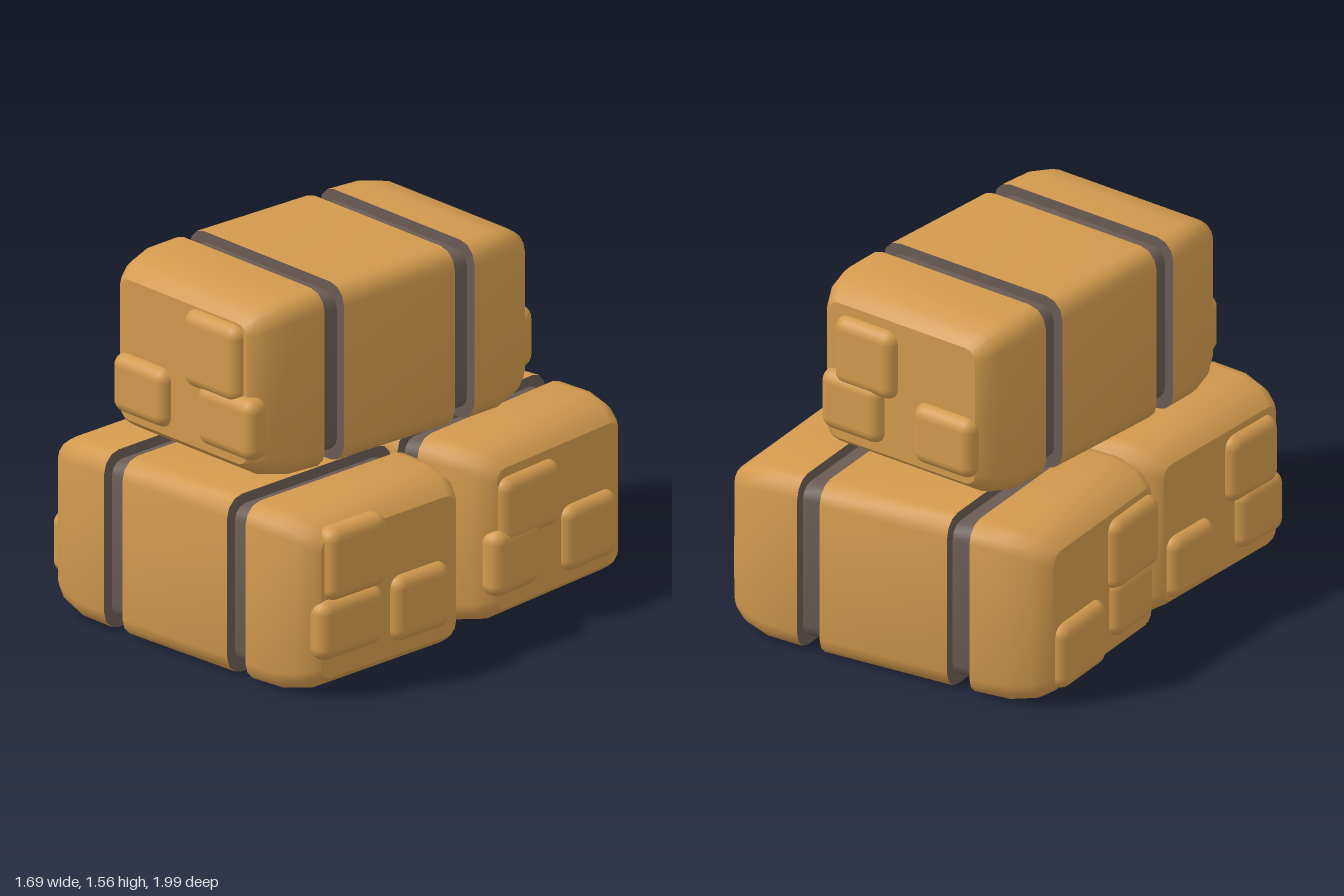
import * as THREE from 'three';
import { toCreasedNormals } from 'three/addons/utils/BufferGeometryUtils.js';
import { RoundedBoxGeometry } from 'three/addons/geometries/RoundedBoxGeometry.js';

const straw = new THREE.MeshStandardMaterial({ color: 0xd2994d });
straw.name = 'straw';
const strapGrey = new THREE.MeshStandardMaterial({ color: 0x6a5b54 });
strapGrey.name = 'strapGrey';

// Rounded rectangle in the y-z plane, its arcs running from +z to +y to -z to -y
function ring([x, halfH, halfW, r], steps = 3) {
  const pts = [];
  [[1, 1], [1, -1], [-1, -1], [-1, 1]].forEach(([sy, sz], corner) => {
    for (let i = 0; i <= steps; i++) {
      const a = (corner + i / steps) * Math.PI / 2;
      pts.push(new THREE.Vector3(x, sy * (halfH - r) + r * Math.sin(a), sz * (halfW - r) + r * Math.cos(a)));
    }
  });
  return pts;
}

// Solid lofted through the sections along +x; groups: 0 skin, 1 start face, 2 end face
function loft(sections) {
  const rings = sections.map((s) => ring(s));
  const n = rings[0].length;
  const pos = [];
  const tri = (a, b, c) => pos.push(...a.toArray(), ...b.toArray(), ...c.toArray());
  for (let s = 0; s + 1 < rings.length; s++) {
    for (let i = 0; i < n; i++) {
      const j = (i + 1) % n;
      const [a, b, c, d] = [rings[s][i], rings[s][j], rings[s + 1][j], rings[s + 1][i]];
      tri(a, c, b);
      tri(a, d, c);
    }
  }
  const skin = pos.length / 3;
  const fan = (r, facesStart) => {
    const mid = new THREE.Vector3(r[0].x, 0, 0);
    for (let i = 0; i < n; i++) {
      const j = (i + 1) % n;
      if (facesStart) tri(mid, r[i], r[j]);
      else tri(mid, r[j], r[i]);
    }
  };
  fan(rings[0], true);
  fan(rings[rings.length - 1], false);
  const raw = new THREE.BufferGeometry();
  raw.setAttribute('position', new THREE.Float32BufferAttribute(pos, 3));
  const geo = toCreasedNormals(raw, 0.6);
  geo.addGroup(0, skin, 0);
  geo.addGroup(skin, n * 3, 1);
  geo.addGroup(skin + n * 3, n * 3, 2);
  return geo;
}

const H = 0.39, W = 0.474, GAP_IN = 0.305, GAP_OUT = 0.412, END = 0.765;

// Groove walls are dark like the straps
const middleGeo = loft([[-GAP_IN, H, W, 0.085], [GAP_IN, H, W, 0.085]]);
const capGeo = loft([
  [GAP_OUT, H, W, 0.085],
  [0.58, 0.386, 0.47, 0.085],
  [0.69, 0.363, 0.443, 0.08],
  [0.745, 0.328, 0.412, 0.065],
  [END, 0.308, 0.388, 0.05],
]);
const strapGeo = loft([[GAP_IN - 0.01, H - 0.045, W - 0.045, 0.06], [GAP_OUT + 0.01, H - 0.045, W - 0.045, 0.06]]);

// Each tuft: [end side, y, z, height, width]
function bale(name, position, turn, tufts) {
  const group = new THREE.Group();
  group.name = name;
  const add = (part, geo, mat) => {
    const mesh = new THREE.Mesh(geo, mat);
    mesh.name = part;
    group.add(mesh);
    return mesh;
  };
  add('baleMiddle', middleGeo, [straw, strapGrey, strapGrey]);
  for (const side of [1, -1]) {
    const turnEnd = side > 0 ? 0 : Math.PI;
    add('baleEnd', capGeo, [straw, strapGrey, straw]).rotation.y = turnEnd;
    add('strap', strapGeo, strapGrey).rotation.y = turnEnd;
  }
  for (const [side, y, z, h, w] of tufts) {
    const geo = new RoundedBoxGeometry(0.12, h, w, 3, 0.055);
    add('strawTuft', geo, straw).position.set(side * (END - 0.012), y, z);
  }
  group.position.set(...position);
  group.rotation.y = turn;
  return group;
}

export function createModel() {
  const model = new THREE.Group();
  model.name = 'strawBales';
  model.add(
    bale('frontBale', [0.016, 0.39, 0.495], -0.05, [
      [1, 0.19, 0.2, 0.32, 0.34], [1, -0.09, 0.235, 0.26, 0.37], [1, -0.105, -0.17, 0.29, 0.32],
      [-1, 0.13, 0.2, 0.3, 0.33], [-1, -0.12, 0.25, 0.27, 0.3], [-1, -0.16, -0.22, 0.28, 0.3],
    ]),
    bale('backBale', [-0.024, 0.39, -0.505], 0.045, [
      [1, 0.125, 0.2, 0.29, 0.37], [1, -0.095, 0.29, 0.29, 0.29], [1, -0.115, -0.185, 0.29, 0.33],
      [-1, 0.12, 0.22, 0.32, 0.36], [-1, -0.12, 0.2, 0.27, 0.3], [-1, -0.17, -0.2, 0.29, 0.36],
    ]),
    bale('topBale', [-0.055, 1.17, 0.02], -(Math.PI / 2 + 0.1), [
      [1, 0.13, -0.2, 0.34, 0.34], [1, -0.135, -0.29, 0.27, 0.35], [1, -0.145, 0.24, 0.26, 0.33],
      [-1, 0.11, -0.18, 0.31, 0.32], [-1, -0.13, -0.25, 0.27, 0.32], [-1, -0.14, 0.24, 0.27, 0.32],
    ]),
  );
  return model;
}
